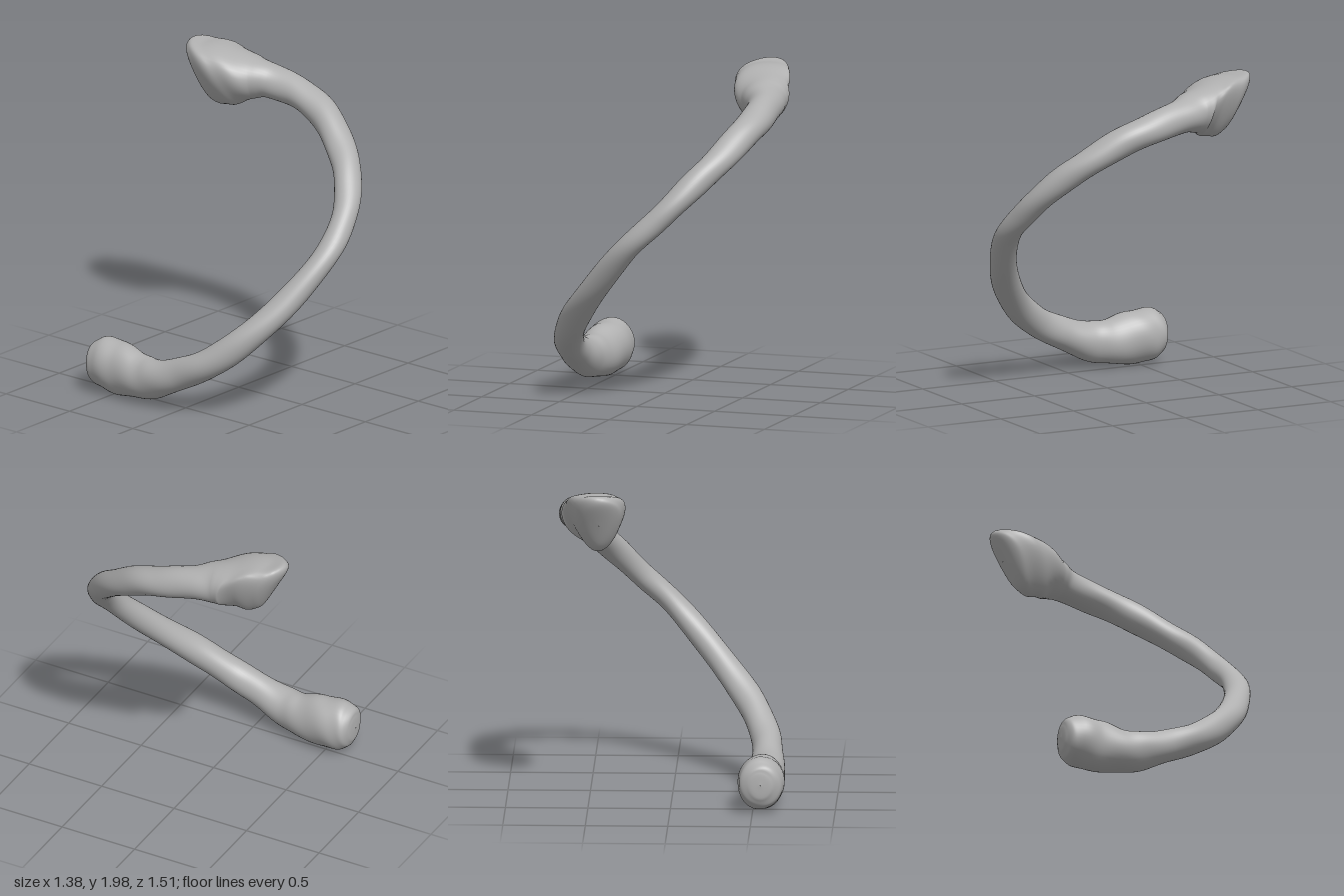
import * as THREE from 'three';

// Cross-sections along the bone: centre x, y, z, half-width, half-height, head shaping 0..1
const SECTIONS = [
  // rounded lower end
  [-0.55, 0.185, -0.68, 0.002, 0.002, 0],
  [-0.55, 0.185, -0.672, 0.075, 0.085, 0],
  [-0.55, 0.185, -0.64, 0.122, 0.135, 0],
  [-0.55, 0.18, -0.57, 0.14, 0.16, 0],
  [-0.552, 0.165, -0.45, 0.135, 0.162, 0],
  [-0.565, 0.155, -0.3, 0.12, 0.137, 0],
  // curved shaft
  [-0.575, 0.172, -0.17, 0.11, 0.12, 0],
  [-0.575, 0.235, 0.0, 0.095, 0.098, 0],
  [-0.545, 0.335, 0.2, 0.09, 0.092, 0],
  [-0.44, 0.5, 0.4, 0.09, 0.088, 0],
  [-0.24, 0.735, 0.58, 0.085, 0.08, 0],
  [0.0, 1.0, 0.69, 0.078, 0.072, 0],
  [0.2, 1.19, 0.665, 0.078, 0.072, 0],
  [0.36, 1.37, 0.56, 0.085, 0.08, 0],
  [0.48, 1.515, 0.4, 0.092, 0.083, 0],
  [0.565, 1.645, 0.2, 0.097, 0.09, 0],
  [0.592, 1.72, 0.0, 0.1, 0.092, 0],
  // flared upper head
  [0.57, 1.765, -0.2, 0.108, 0.105, 0],
  [0.53, 1.78, -0.31, 0.14, 0.128, 0.25],
  [0.48, 1.785, -0.42, 0.167, 0.175, 0.7],
  [0.45, 1.785, -0.53, 0.165, 0.21, 1],
  [0.435, 1.785, -0.615, 0.145, 0.212, 1],
  [0.43, 1.785, -0.655, 0.1, 0.165, 1],
  [0.43, 1.785, -0.66, 0.002, 0.002, 1],
];
const RINGS = 184, SIDES = 40;

function boneGeometry() {
  const spline = pts => new THREE.CatmullRomCurve3(pts, false, 'catmullrom', 0.5);
  const path = spline(SECTIONS.map(s => new THREE.Vector3(s[0], s[1], s[2])));
  const shape = spline(SECTIONS.map(s => new THREE.Vector3(s[3], s[4], s[5])));
  const positions = [], index = [];

  for (let i = 0; i <= RINGS; i++) {
    const u = i / RINGS;
    const c = path.getPoint(u), s = shape.getPoint(u);
    const head = THREE.MathUtils.clamp(s.z, 0, 1);
    const t = path.getTangent(u);
    // the head turns to a fixed plane that leans backwards
    t.lerp(new THREE.Vector3(0, -0.48, -0.88), head).normalize();
    const side = new THREE.Vector3().crossVectors(t, new THREE.Vector3(0, 1, 0)).normalize();
    const up = new THREE.Vector3().crossVectors(side, t);
    for (let j = 0; j < SIDES; j++) {
      const a = j / SIDES * Math.PI * 2, cos = Math.cos(a), sin = Math.sin(a);
      // gentle uneven surface
      const lump = 1 + 0.018 * Math.sin(u * 95 + 2 * a) + 0.012 * Math.sin(u * 61 - 3 * a);
      // the head narrows downwards and its sides sweep forwards
      const x = s.x * cos * (1 + 0.3 * head * sin) * lump;
      const p = c.clone().addScaledVector(side, x).addScaledVector(up, s.y * sin * lump);
      p.addScaledVector(t, -2.5 * head * x * x);
      positions.push(p.x, p.y, p.z);
      if (i < RINGS) {
        const k = (j + 1) % SIDES, r = i * SIDES, n = r + SIDES;
        index.push(r + j, n + j, r + k, r + k, n + j, n + k);
      }
    }
  }
  const geometry = new THREE.BufferGeometry();
  geometry.setAttribute('position', new THREE.Float32BufferAttribute(positions, 3));
  geometry.setIndex(index);
  geometry.computeVertexNormals();
  return geometry;
}

export function createModel() {
  const group = new THREE.Group();
  group.name = 'curvedBone';
  const boneGrey = new THREE.MeshStandardMaterial({ color: 0xb0b0b0 });
  boneGrey.name = 'boneGrey';
  const bone = new THREE.Mesh(boneGeometry(), boneGrey);
  bone.name = 'boneShaftAndEnds';
  group.add(bone);
  return group;
}
